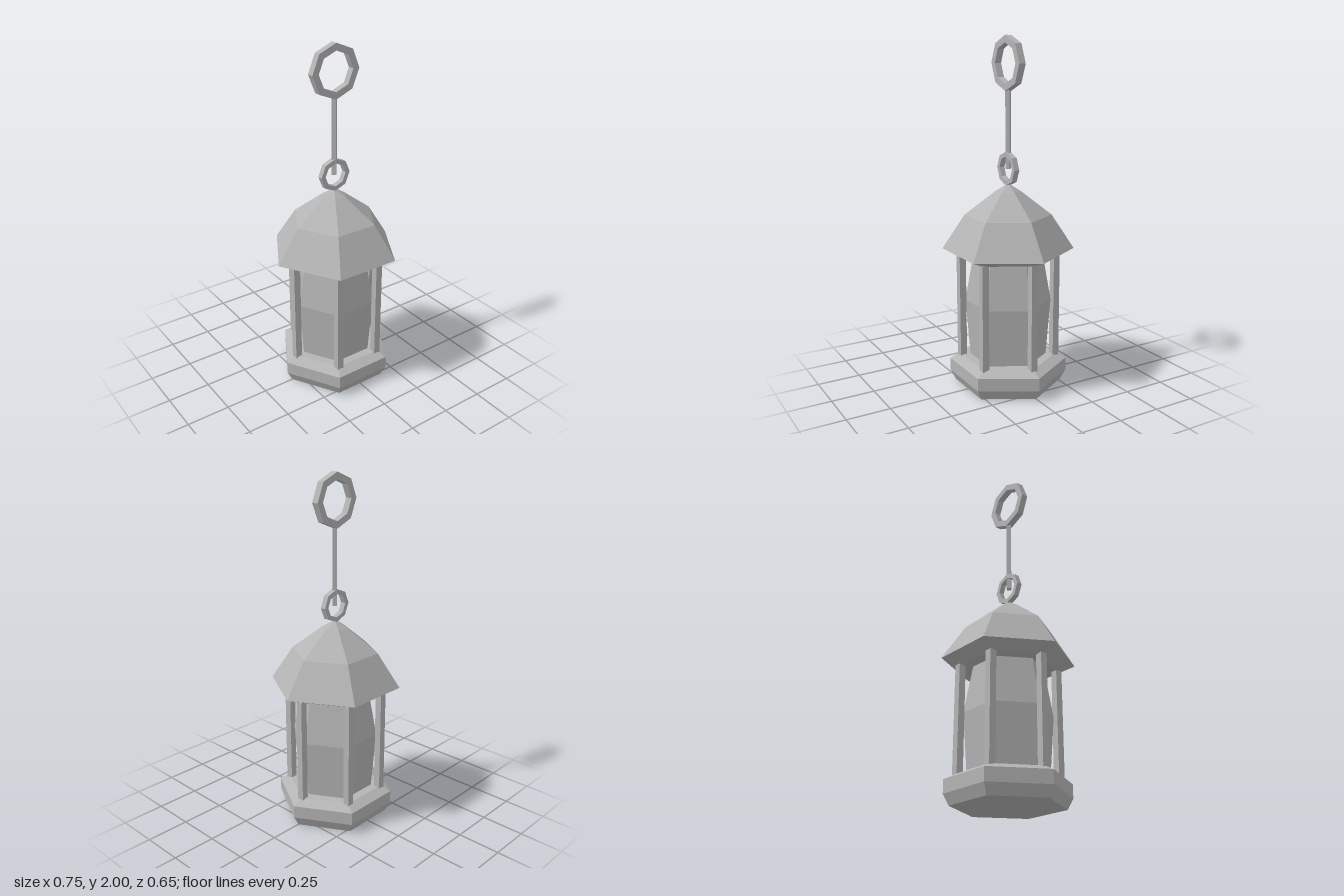
import * as THREE from 'three';

export function createModel() {
  const model = new THREE.Group();
  model.name = 'lantern';
  const metal = new THREE.MeshStandardMaterial({ color: 0xb4b4b4, flatShading: true });
  metal.name = 'grey metal';

  const add = (name, geometry, x = 0, y = 0, z = 0) => {
    const mesh = new THREE.Mesh(geometry, metal);
    mesh.name = name;
    mesh.position.set(x, y, z);
    model.add(mesh);
    return mesh;
  };

  // Faceted solid turned from [radius, height] points, corners on the x axis
  const turned = (points, sides) => new THREE.LatheGeometry(
    points.map(([r, y]) => new THREE.Vector2(r, y)), sides, Math.PI / 2);

  // Hexagonal body
  add('base', turned([[0, 0], [0.31, 0], [0.342, 0.06], [0.342, 0.135], [0.28, 0.165], [0, 0.165]], 6));
  add('lampGlass', turned([[0.222, 0.16], [0.248, 0.5], [0.2, 0.77]], 6));
  add('roof', turned([[0, 0.768], [0.28, 0.768], [0.377, 0.808], [0.248, 1.005], [0.07, 1.143], [0, 1.187]], 6));

  // Six square posts at the corners
  for (let i = 0; i < 6; i++) {
    const a = i * Math.PI / 3;
    add('post', new THREE.BoxGeometry(0.04, 0.62, 0.04), 0.27 * Math.cos(a), 0.462, 0.27 * Math.sin(a));
  }

  // Octagonal rings with a square section, joined by a rod
  const ring = (name, inner, outer, depth, y) => {
    const d = depth / 2;
    const profile = [[outer, -d], [outer, d], [inner, d], [inner, -d], [outer, -d]];
    add(name, turned(profile, 8), 0, y, 0).rotation.x = Math.PI / 2;
  };
  ring('lowerRing', 0.068, 0.095, 0.032, 1.27);
  ring('hangingRing', 0.11, 0.15, 0.04, 1.85);
  add('rod', new THREE.CylinderGeometry(0.018, 0.018, 0.45, 4), 0, 1.495, 0);

  return model;
}
